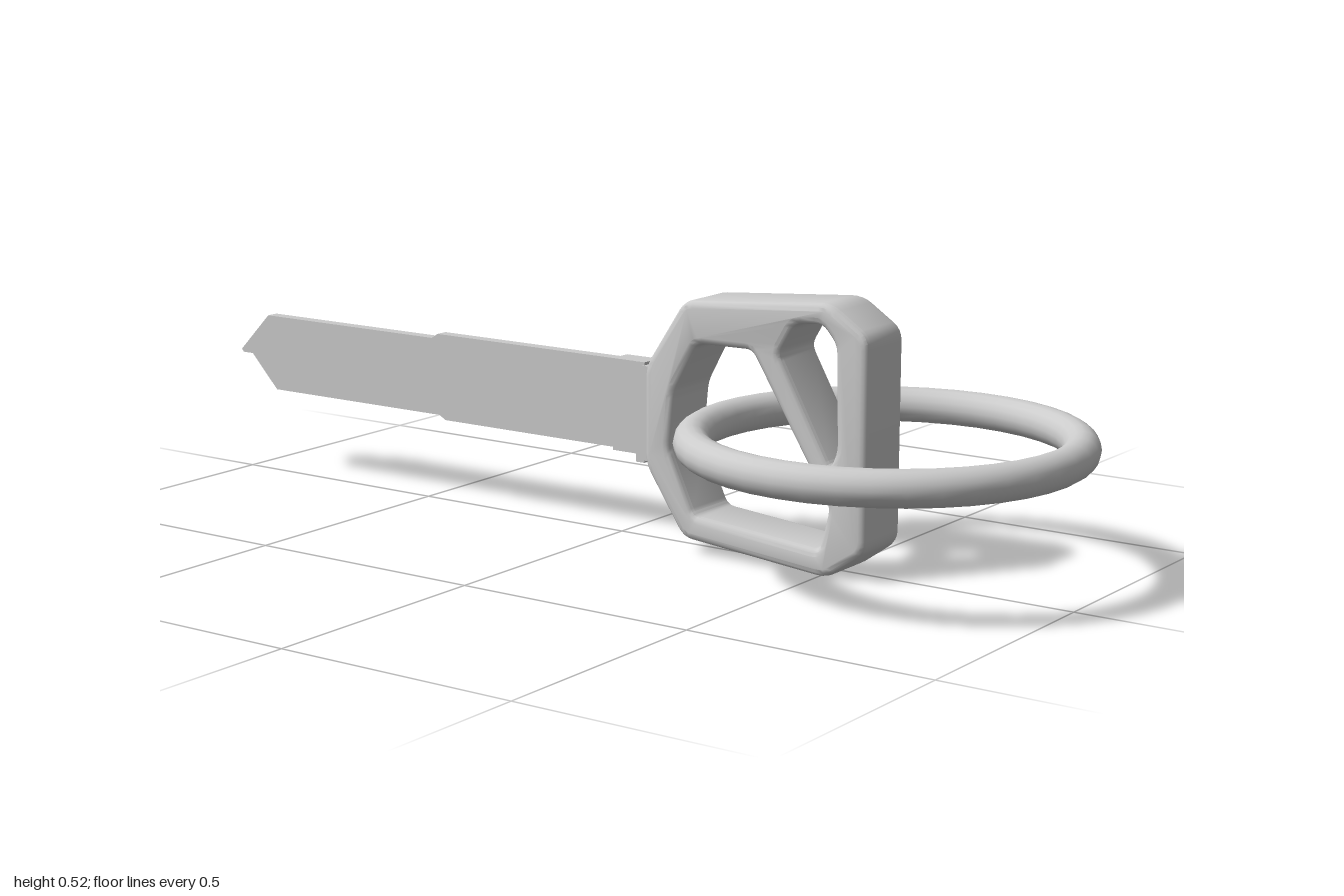
import * as THREE from 'three';
import { toCreasedNormals } from 'three/addons/utils/BufferGeometryUtils.js';

const grey = new THREE.MeshStandardMaterial({ color: 0xcccccc });

// Closed outline of [z, y] points with each corner softened by radius r
function softOutline(target, points, r) {
  const p = points.map(([z, y]) => new THREE.Vector2(z, y));
  p.forEach((c, i) => {
    const prev = p[(i + p.length - 1) % p.length], next = p[(i + 1) % p.length];
    const cut = (q) => c.clone().lerp(q, Math.min(0.4, r / c.distanceTo(q)));
    const a = cut(prev), b = cut(next);
    if (i === 0) target.moveTo(a.x, a.y); else target.lineTo(a.x, a.y);
    target.quadraticCurveTo(c.x, c.y, b.x, b.y);
  });
  target.closePath();
  return target;
}

// Extrude a side-on (z, y) shape so that it spans x0..x1
function sideExtrude(shape, x0, x1, bevel = 0) {
  const geo = new THREE.ExtrudeGeometry(shape, {
    depth: x1 - x0 - 2 * bevel, curveSegments: 4,
    bevelEnabled: bevel > 0, bevelThickness: bevel, bevelSize: bevel,
    bevelOffset: -bevel, bevelSegments: 3,
  });
  geo.rotateY(-Math.PI / 2);
  geo.translate(x1 - bevel, 0, 0);
  return geo;
}

function add(group, name, geo) {
  const mesh = new THREE.Mesh(geo, grey);
  mesh.name = name;
  group.add(mesh);
  return mesh;
}

function addBox(group, name, w, y0, y1, z0, z1) {
  add(group, name, new THREE.BoxGeometry(w, y1 - y0, z1 - z0))
    .position.set(0, (y0 + y1) / 2, (z0 + z1) / 2);
}

export function createModel() {
  const model = new THREE.Group();
  model.name = 'keyWithRing';

  // Angular head with two openings separated by a diagonal bar
  const head = softOutline(new THREE.Shape(), [
    [0.60, 0.47], [0.515, 0.526], [0.19, 0.50], [0.10, 0.362],
    [0.10, 0.168], [0.19, 0.033], [0.515, 0.003], [0.60, 0.063],
  ], 0.022);
  head.holes.push(
    softOutline(new THREE.Path(), [
      [0.53, 0.45], [0.50, 0.485], [0.44, 0.48], [0.405, 0.42], [0.52, 0.215], [0.535, 0.25],
    ], 0.015),
    softOutline(new THREE.Path(), [
      [0.345, 0.42], [0.22, 0.418], [0.168, 0.32], [0.157, 0.205],
      [0.215, 0.08], [0.50, 0.055], [0.52, 0.14],
    ], 0.015),
  );
  add(model, 'head', toCreasedNormals(sideExtrude(head, -0.067, 0.067, 0.014), 0.55));

  // Stepped collar and solid shank between head and blade
  addBox(model, 'collarRear', 0.11, 0.172, 0.36, 0.088, 0.105);
  addBox(model, 'collarFront', 0.1, 0.166, 0.366, 0.07, 0.09);
  addBox(model, 'shank', 0.048, 0.175, 0.36, -0.005, 0.08);

  // Blade: two offset halves forming a Z section, both running to the pointed tip
  const tip = [-1, 0.268];
  const upper = new THREE.Shape([
    [0.02, 0.262], [0.02, 0.36], [-0.45, 0.36], [-0.465, 0.35],
    [-0.92, 0.35], tip, [-0.994, 0.262],
  ].map(([z, y]) => new THREE.Vector2(z, y)));
  const lower = new THREE.Shape([
    [0.02, 0.283], [0.02, 0.175], [-0.45, 0.175], [-0.465, 0.184],
    [-0.92, 0.184], tip, [-0.985, 0.283],
  ].map(([z, y]) => new THREE.Vector2(z, y)));
  add(model, 'bladeUpper', sideExtrude(upper, -0.024, 0.002));
  add(model, 'bladeLower', sideExtrude(lower, -0.002, 0.024));

  // Ring threaded through the large opening
  const ring = add(model, 'ring', new THREE.TorusGeometry(0.361, 0.035, 16, 40));
  ring.rotation.x = Math.PI / 2;
  ring.position.set(0, 0.264, 0.604);

  return model;
}
